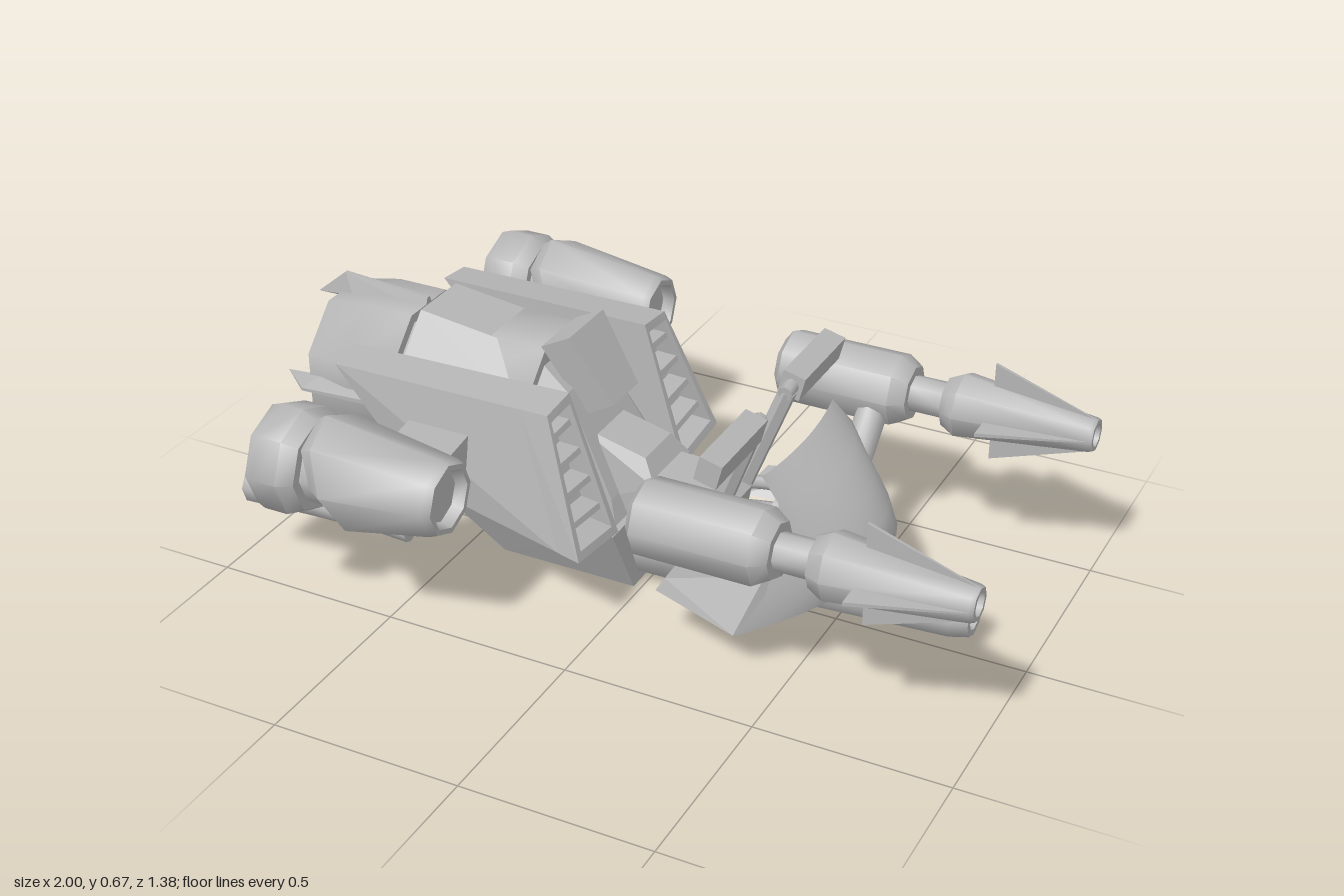
import * as THREE from 'three';
import { toCreasedNormals } from 'three/addons/utils/BufferGeometryUtils.js';
import { ConvexGeometry } from 'three/addons/geometries/ConvexGeometry.js';

export function createModel() {
  const model = new THREE.Group();
  model.name = 'hoverbike';
  const grey = new THREE.MeshStandardMaterial({ color: 0xb4b4b4, side: THREE.DoubleSide });
  grey.name = 'hull grey';

  const add = (parent, name, geo) => {
    const m = new THREE.Mesh(geo, grey);
    m.name = name;
    parent.add(m);
    return m;
  };
  // Solid spanned by corner points
  const solid = (parent, name, pts) =>
    add(parent, name, new ConvexGeometry(pts.map(p => new THREE.Vector3(...p))));
  // Side profile in x, y with a half width for each point
  const wedge = (parent, name, pts) =>
    solid(parent, name, pts.flatMap(([x, y, w]) => [[x, y, w], [x, y, -w]]));
  // Turned part along x, profile points are [x, radius]
  const turned = (parent, name, y, z, profile, sides = 8, phase = 0) => {
    const g = new THREE.LatheGeometry(profile.map(([x, r]) => new THREE.Vector2(r, x)), sides, phase);
    g.rotateZ(-Math.PI / 2);
    const m = add(parent, name, toCreasedNormals(g, 0.85));
    m.position.set(0, y, z);
    return m;
  };
  const rod = (parent, name, a, b, r, sides = 8) => {
    const path = new THREE.LineCurve3(new THREE.Vector3(...a), new THREE.Vector3(...b));
    const d = path.getLength();
    const m = add(parent, name, toCreasedNormals(new THREE.CylinderGeometry(r, r, d, sides), 0.85));
    m.position.copy(path.getPoint(0.5));
    m.quaternion.setFromUnitVectors(new THREE.Vector3(0, 1, 0), path.getTangent(0));
    return m;
  };
  // Four fins around an x axis, outline points are [x, radius, half thickness]
  const fins = (parent, name, y, z, outline) => {
    for (let i = 0; i < 4; i++) {
      const m = wedge(parent, name, outline);
      m.position.set(0, y, z);
      m.rotation.x = i * Math.PI / 2;
    }
  };

  // Main engine with an open rear nozzle
  turned(model, 'mainEngine', 0.42, 0, [
    [-0.72, 0.001], [-0.72, 0.16], [-0.92, 0.18], [-0.92, 0.195], [-0.8, 0.217], [-0.66, 0.217],
    [-0.66, 0.19], [-0.63, 0.19], [-0.63, 0.216], [-0.27, 0.216], [-0.27, 0.001],
  ], 8, Math.PI / 8);
  fins(model, 'tailFin', 0.42, 0, [[-1, 0.16, 0.001], [-0.91, 0.235, 0.004], [-0.66, 0.217, 0.006],
    [-0.66, 0.18, 0.02], [-0.88, 0.18, 0.022]]);

  // Lower hull and sloping body
  wedge(model, 'lowerHull', [[-0.4, 0, 0.1], [-0.02, 0, 0.1], [-0.53, 0.2, 0.2], [-0.02, 0.16, 0.18],
    [-0.48, 0.3, 0.23], [-0.02, 0.21, 0.21]]);
  wedge(model, 'bodyTop', [[-0.63, 0.645, 0.085], [-0.63, 0.52, 0.205], [-0.63, 0.3, 0.2],
    [-0.27, 0.6, 0.085], [-0.27, 0.5, 0.2], [-0.27, 0.3, 0.2]]);
  wedge(model, 'bodyFront', [[-0.3, 0.6, 0.09], [-0.3, 0.5, 0.19], [-0.3, 0.2, 0.19],
    [-0.2, 0.52, 0.1], [-0.03, 0.2, 0.17], [-0.06, 0.27, 0.14]]);

  // Seat and tank
  wedge(model, 'backrest', [[-0.28, 0.625, 0.088], [-0.2, 0.667, 0.088], [-0.09, 0.495, 0.065], [-0.17, 0.45, 0.065]]);
  wedge(model, 'seat', [[-0.2, 0.42, 0.07], [-0.08, 0.38, 0.07], [0, 0.37, 0.07], [0.04, 0.31, 0.1],
    [-0.2, 0.2, 0.1], [0.04, 0.2, 0.1]]);
  wedge(model, 'tank', [[0.02, 0.325, 0.07], [0.18, 0.32, 0.07], [0.23, 0.28, 0.07],
    [0.02, 0.26, 0.11], [0.18, 0.26, 0.11], [0, 0.18, 0.1], [0.2, 0.18, 0.1]]);

  // Nose barrel
  turned(model, 'frontHousing', 0.11, 0, [
    [-0.04, 0.001], [-0.04, 0.107], [0.16, 0.105], [0.18, 0.09], [0.18, 0.065], [0.35, 0.065], [0.35, 0.001]]);
  turned(model, 'noseBarrel', 0.117, 0, [
    [0.34, 0.001], [0.34, 0.07], [0.36, 0.085], [0.81, 0.064], [0.86, 0.052], [0.86, 0.035], [0.78, 0.03], [0.78, 0.001]]);
  rod(model, 'cowlMount', [0.34, 0.25, 0], [0.5, 0.26, 0], 0.085);
  rod(model, 'steeringColumn', [0.18, 0.22, 0], [0.36, 0.25, 0], 0.045);

  // Curved front cowl, built from rows running down to the lip
  const rows = [
    t => [0.4 - 0.02 * t * t, 0.495, 0.21 * t],
    t => [0.5 - 0.07 * t * t, 0.44, 0.222 * t],
    t => [0.565 - 0.125 * t * t, 0.38, 0.24 * t],
    t => [0.61 - 0.165 * t * t, 0.32 - 0.01 * t * t, 0.264 * t],
    t => [0.633 - 0.2 * t * t, 0.26 - 0.035 * t * t, 0.296 * t],
    t => [0.605 - 0.225 * t * t, 0.198 - 0.03 * Math.abs(t) - 0.048 * t * t, 0.34 * t],
  ];
  const n = 12, pos = [], idx = [];
  rows.forEach((f, r) => {
    for (let i = 0; i <= n; i++) pos.push(...f(1 - 2 * i / n));
    if (r) for (let i = 0; i < n; i++) {
      const a = (r - 1) * (n + 1) + i, b = a + n + 1;
      idx.push(a, b, a + 1, b, b + 1, a + 1);
    }
  });
  const cowl = new THREE.BufferGeometry();
  cowl.setAttribute('position', new THREE.Float32BufferAttribute(pos, 3));
  cowl.setIndex(idx);
  add(model, 'frontCowl', toCreasedNormals(cowl, 1.2));

  // Everything that comes in pairs
  for (const s of [1, -1]) {
    const side = new THREE.Group();
    side.name = s > 0 ? 'leftSide' : 'rightSide';
    side.scale.z = s;
    model.add(side);

    // Cowl wing, handlebar and steering strut
    solid(side, 'cowlWing', [[0.42, 0.26, 0.27], [0.37, 0.115, 0.335], [0.15, 0.165, 0.31], [0.15, 0.175, 0.18],
      [0.17, 0.2, 0.3], [0.5, 0.172, 0.2]]);
    const bar = add(side, 'handlebar', new THREE.BoxGeometry(0.06, 0.065, 0.25));
    bar.position.set(0.31, 0.565, 0.235);
    bar.rotation.z = -0.25;
    rod(side, 'handlebarEnd', [0.31, 0.565, 0.12], [0.31, 0.56, 0.07], 0.02);
    rod(side, 'steeringStrut', [0.19, 0.24, 0.07], [0.31, 0.56, 0.09], 0.024, 6);
    const arc = add(side, 'footRest', new THREE.TorusGeometry(0.13, 0.018, 6, 8, Math.PI / 2));
    arc.rotation.x = Math.PI / 2;
    arc.rotation.z = Math.PI / 4;
    arc.position.set(0.27, 0.26, 0);

    // Front cannon with strut and muzzle fins
    turned(side, 'cannonBody', 0.447, 0.415, [
      [0.21, 0.001], [0.21, 0.055], [0.16, 0.07], [0.18, 0.097], [0.48, 0.097], [0.52, 0.072], [0.52, 0.048],
      [0.61, 0.048], [0.61, 0.001]]);
    turned(side, 'cannonMuzzle', 0.447, 0.415, [
      [0.61, 0.001], [0.61, 0.065], [0.65, 0.086], [0.99, 0.046], [1, 0.042], [1, 0.03], [0.92, 0.026], [0.92, 0.001]]);
    fins(side, 'muzzleFin', 0.447, 0.415,
      [[0.73, 0.06, 0.005], [0.73, 0.135, 0.005], [0.99, 0.046, 0.002], [0.97, 0.04, 0.002]]);
    rod(side, 'cannonStrut', [0.43, 0.42, 0.38], [0.43, 0.27, 0.22], 0.042);

    // Outer engine: rear ring with neck, then a front cone cut obliquely at its back
    turned(side, 'engineRing', 0.437, 0.55, [
      [-0.64, 0.001], [-0.66, 0.1], [-0.765, 0.115], [-0.765, 0.132], [-0.74, 0.141], [-0.675, 0.141],
      [-0.635, 0.12], [-0.635, 0.095], [-0.5, 0.095], [-0.5, 0.001]]);
    const cone = turned(side, 'engineCone', 0.437, 0.55, [
      [-0.56, 0.001], [-0.595, 0.11], [-0.55, 0.141], [-0.29, 0.1], [-0.27, 0.092], [-0.27, 0.078],
      [-0.3, 0.07], [-0.3, 0.001]]);
    const p = cone.geometry.attributes.position;
    for (let i = 0; i < p.count; i++) {
      const back = Math.max(0, (-0.31 - p.getX(i)) / 0.24);
      p.setX(i, p.getX(i) - 0.42 * back * p.getY(i));
    }
    cone.geometry = toCreasedNormals(cone.geometry, 0.85);
    solid(side, 'enginePylon', [-0.53, -0.36].flatMap(x => [
      [x, 0.48, 0.24], [x, 0.36, 0.26], [x + 0.02, 0.47, 0.47], [x + 0.02, 0.38, 0.47]]));

    // Exhaust pipes flaring and rising slightly to the rear
    const exhaust = (name, end, r, y, z) => {
      const m = turned(side, name, y, z, [
        [-0.68, 0.001], [-0.68, r * 0.5], [-end, r * 0.9], [-end, r], [-0.75, r * 0.7], [-0.56, r * 0.48],
        [-0.48, r * 0.48], [-0.48, 0.001]]);
      m.rotation.z = -0.06;
    };
    exhaust('outerExhaust', 0.945, 0.062, 0.184, 0.415);
    exhaust('innerExhaust', 0.835, 0.042, 0.2, 0.262);
    rod(side, 'exhaustElbow', [-0.54, 0.21, 0.415], [-0.43, 0.37, 0.34], 0.034);

    // Side fairing: u inner to outer, v bottom to top, w back to front
    const corner = {
      '000': [-0.48, 0.3, 0.19], '100': [-0.5, 0.3, 0.33], '010': [-0.745, 0.58, 0.21], '110': [-0.745, 0.57, 0.31],
      '001': [-0.02, 0.21, 0.18], '101': [-0.02, 0.235, 0.385], '011': [-0.14, 0.585, 0.2], '111': [-0.14, 0.575, 0.31],
    };
    const at = (u, v, w) => {
      const q = [0, 0, 0];
      for (const key in corner) {
        const k = [u, v, w].reduce((f, c, i) => f * (key[i] === '1' ? c : 1 - c), 1);
        corner[key].forEach((c, i) => { q[i] += c * k; });
      }
      return q;
    };
    const block = (name, u0, u1, v0, v1, w0, w1) => solid(side, name,
      [u0, u1].flatMap(u => [v0, v1].flatMap(v => [w0, w1].map(w => at(u, v, w)))));
    block('sideFairing', 0, 1, 0, 1, 0, 0.87);
    block('intakeWall', 0, 0.1, 0, 1, 0.87, 1);
    block('intakeWall', 0.9, 1, 0, 1, 0.87, 1);
    block('intakeSill', 0.1, 0.9, 0, 0.06, 0.87, 1);
    block('intakeTop', 0.1, 0.9, 0.94, 1, 0.87, 1);
    for (let i = 1; i < 5; i++) block('intakeSlat', 0.1, 0.9, i / 5 - 0.02, i / 5 + 0.02, 0.87, 0.97);
  }
  return model;
}
